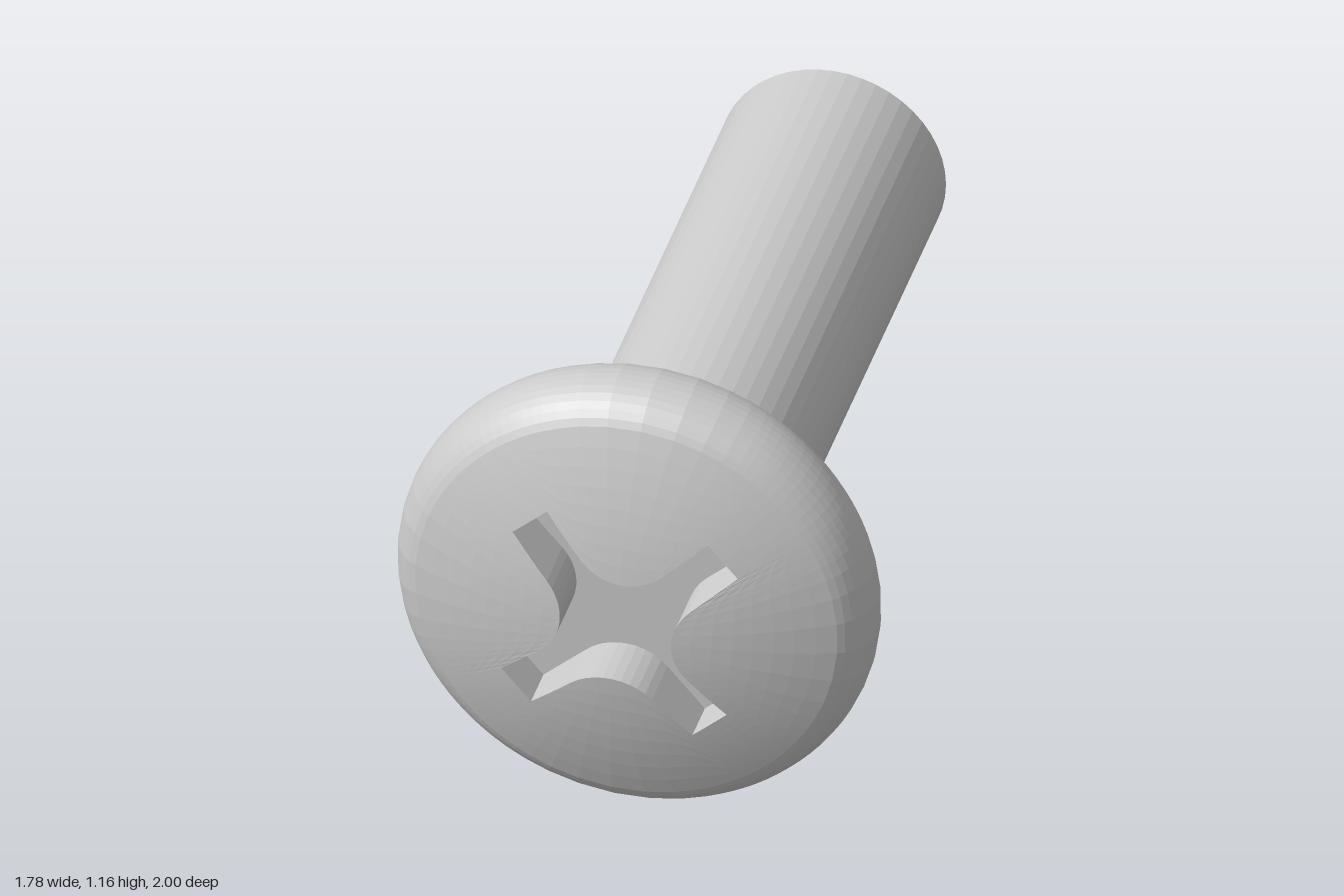
import * as THREE from 'three';

const material = new THREE.MeshStandardMaterial({ color: 0xcccccc, flatShading: true });

// Outline of the cross recess as [angle, radius], counter-clockwise
function crossOutline() {
  const half = 0.055, reach = 0.333, fillet = 0.14, c = half + fillet;
  const arm = [];
  for (let i = 0; i < 6; i++) arm.push([reach, -half + (2 * half * i) / 6]);
  for (let i = 0; i < 3; i++) arm.push([reach + ((c - reach) * i) / 3, half]);
  for (let i = 0; i < 10; i++) {
    const a = -Math.PI / 2 - (i / 10) * (Math.PI / 2);
    arm.push([c + fillet * Math.cos(a), c + fillet * Math.sin(a)]);
  }
  // side of the next arm, back out towards its end
  for (let i = 0; i < 3; i++) arm.push([half, c + ((reach - c) * i) / 3]);
  const out = [];
  for (let k = 0; k < 4; k++) {
    const turn = THREE.MathUtils.degToRad(41) + (k * Math.PI) / 2;
    for (const [x, y] of arm) out.push([Math.atan2(y, x) + turn, Math.hypot(x, y)]);
  }
  return out;
}

// Domed head with recess: one skin from recess floor over the dome to the underside
function headGeometry() {
  const outline = crossOutline(), n = outline.length;
  const floor = 0.78;
  // half-round rim, from the dome edge (65 degrees) round to the underside (-68)
  const rim = degrees => {
    const a = THREE.MathUtils.degToRad(degrees);
    return [0.463 + 0.12 * Math.cos(a), 0.712 + 0.135 * Math.sin(a)];
  };
  const [edge, edgeHeight] = rim(65), top = 0.94;
  const dome = r => top - (top - edgeHeight) * (r / edge) ** 2;

  const rows = [() => [0, floor], r => [r, floor]];
  for (let i = 0; i <= 8; i++) {
    rows.push(r => {
      const q = r + ((edge - r) * i) / 8;
      return [q, dome(q)];
    });
  }
  for (let i = 1; i <= 14; i++) rows.push(() => rim(65 - (133 * i) / 14));
  rows.push(() => [0, rim(-68)[1]]);

  const pos = [], index = [];
  rows.forEach((row, i) => {
    outline.forEach(([angle, radius], j) => {
      const [r, h] = row(radius);
      pos.push(r * Math.cos(angle), r * Math.sin(angle), h);
      if (i === rows.length - 1) return;
      const a = i * n + j, b = i * n + ((j + 1) % n);
      if (i > 0) index.push(a, b + n, b);
      if (i < rows.length - 2) index.push(a, a + n, b + n);
      else index.push(a, a + n, b);
    });
  });
  const g = new THREE.BufferGeometry();
  g.setAttribute('position', new THREE.Float32BufferAttribute(pos, 3));
  g.setIndex(index);
  g.computeVertexNormals();
  return g;
}

// Plain shaft with a chamfered tip, its open end sunk into the head
function shaftGeometry() {
  const profile = [[0, -1.105], [0.23, -1.105], [0.275, -1.062], [0.275, 0.6]];
  const g = new THREE.LatheGeometry(profile.map(p => new THREE.Vector2(...p)), 48);
  return g.rotateX(Math.PI / 2);
}

export function createModel() {
  const screw = new THREE.Group();
  screw.name = 'screw';
  const add = (name, geometry) => {
    const mesh = new THREE.Mesh(geometry, material);
    mesh.name = name;
    screw.add(mesh);
  };
  add('head', headGeometry());
  add('shaft', shaftGeometry());

  // Lying level, turned about the vertical
  screw.rotation.y = -0.6485;
  screw.position.set(0.028, 0.588, 0.021);
  const model = new THREE.Group();
  model.name = 'model';
  model.add(screw);
  return model;
}
